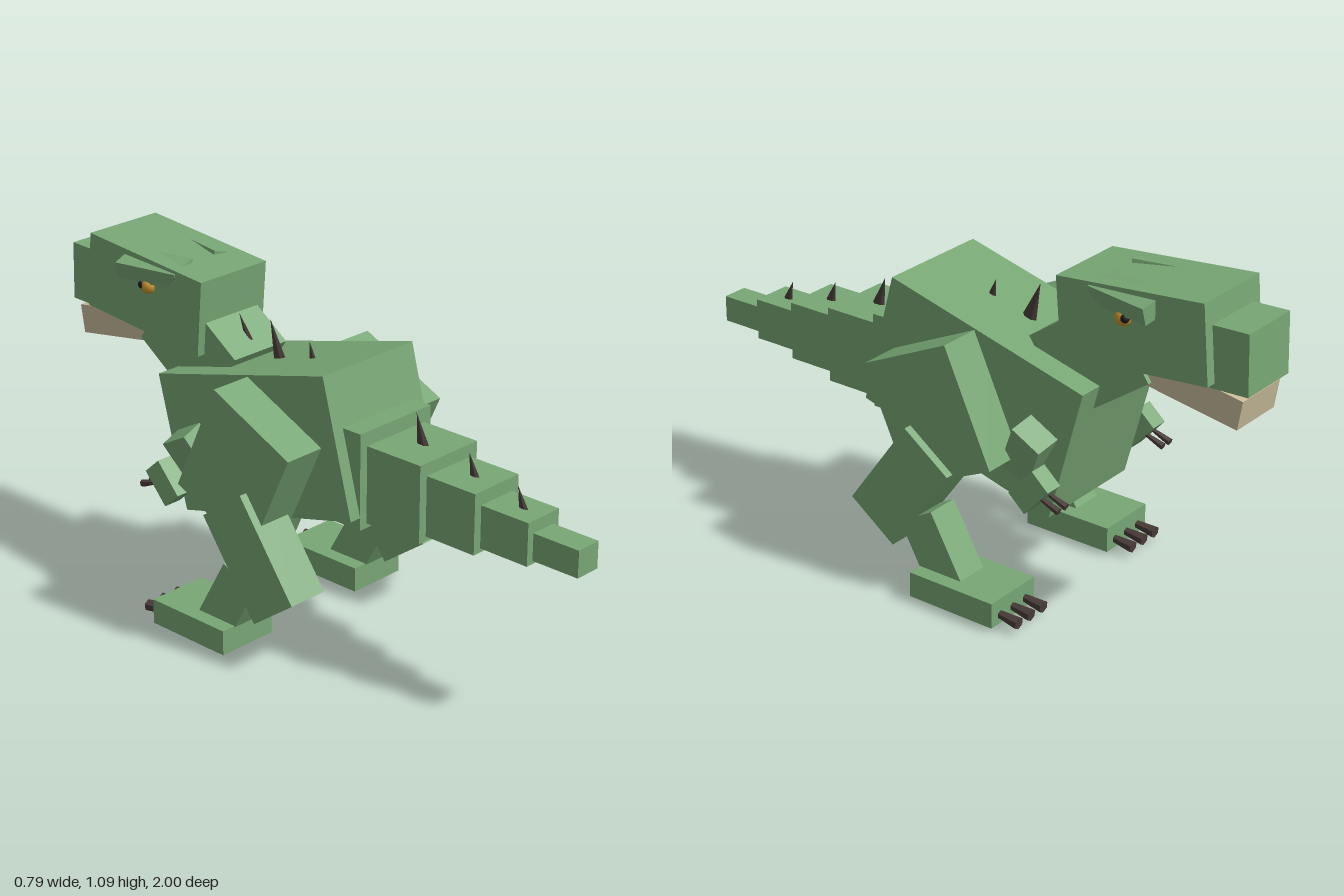
import * as THREE from 'three';

export function createModel() {
  const model = new THREE.Group();
  model.name = 'dinosaur';

  const mat = (name, color) => {
    const m = new THREE.MeshStandardMaterial({ color });
    m.name = name;
    return m;
  };
  const green = mat('skinGreen', 0x78a775);
  const tan = mat('jawTan', 0xcabd9c);
  const horn = mat('hornBrown', 0x4a3d39);
  const gold = mat('eyeGold', 0xc8962e);
  const black = mat('pupilBlack', 0x1c1a1a);

  function add(name, geo, material, pos, rot = [0, 0, 0]) {
    const mesh = new THREE.Mesh(geo, material);
    mesh.name = name;
    mesh.position.set(...pos);
    mesh.rotation.set(...rot);
    model.add(mesh);
    return mesh;
  }
  const box = (name, size, pos, rot, material = green) =>
    add(name, new THREE.BoxGeometry(...size), material, pos, rot);

  // Cylinder or cone running from one point to another
  function taper(name, from, to, r0, r1, sides = 6, flat = 1) {
    const a = new THREE.Vector3(...from), b = new THREE.Vector3(...to);
    const dir = b.clone().sub(a);
    const geo = new THREE.CylinderGeometry(r1, r0, dir.length(), sides).toNonIndexed();
    geo.scale(flat, 1, 1);
    geo.computeVertexNormals();
    const mesh = add(name, geo, horn, a.add(b).multiplyScalar(0.5).toArray());
    mesh.quaternion.setFromUnitVectors(new THREE.Vector3(0, 1, 0), dir.normalize());
  }

  // Torso, neck and head
  box('torso', [0.384, 0.438, 0.715], [0, 0.612, -0.115], [-0.258, 0, 0]);
  box('neck', [0.22, 0.267, 0.32], [0, 0.803, -0.474], [0.612, 0, 0]);
  box('head', [0.275, 0.243, 0.495], [0, 0.946, -0.635], [0.087, 0, 0]);
  box('snout', [0.206, 0.187, 0.24], [0, 0.923, -0.878], [0.03, 0, 0]);
  box('jaw', [0.19, 0.092, 0.31], [0, 0.793, -0.82], [-0.165, 0, 0], tan);

  // Tail: [width, bottom, top, zStart, zEnd]
  [
    [0.304, 0.45, 0.755, 0.04, 0.286],
    [0.247, 0.465, 0.71, 0.25, 0.49],
    [0.19, 0.48, 0.67, 0.45, 0.67],
    [0.135, 0.493, 0.627, 0.63, 0.84],
    [0.087, 0.503, 0.588, 0.8, 1.0],
  ].forEach(([w, y0, y1, z0, z1], i) =>
    box('tailSegment' + (i + 1), [w, y1 - y0, z1 - z0], [0, (y0 + y1) / 2, (z0 + z1) / 2]));

  // Back spikes: [base y, base z, tip y, tip z, radius]
  [
    [0.61, 0.772, 0.69, 0.745, 0.02],
    [0.65, 0.592, 0.735, 0.566, 0.022],
    [0.69, 0.395, 0.8, 0.365, 0.027],
    [0.84, -0.045, 0.907, -0.062, 0.017],
    [0.8, -0.18, 0.935, -0.224, 0.029],
    [0.84, -0.315, 0.92, -0.357, 0.018],
  ].forEach(([y0, z0, y1, z1, r]) =>
    taper('backSpike', [0, y0, z0], [0, y1, z1], r, 0, 6, 0.5));

  // Paired parts, mirrored left and right
  for (const s of [1, -1]) {
    const side = s > 0 ? 'left' : 'right';

    // Brow and eye
    box(side + 'Brow', [0.1, 0.055, 0.22], [s * 0.11, 1.03, -0.608], [0, s * -0.2, s * -0.25]);
    add(side + 'Eye', new THREE.SphereGeometry(0.027, 14, 10), gold, [s * 0.135, 0.98, -0.61]);
    add(side + 'Pupil', new THREE.SphereGeometry(0.014, 10, 8), black, [s * 0.15, 0.984, -0.624]);

    // Hind leg
    box(side + 'Thigh', [0.19, 0.387, 0.331], [s * 0.235, 0.584, -0.062], [0.435, 0, 0]);
    box(side + 'Calf', [0.137, 0.357, 0.193], [s * 0.288, 0.338, 0.024], [-0.625, 0, 0]);
    box(side + 'Ankle', [0.109, 0.252, 0.135], [s * 0.29, 0.143, -0.091], [0.517, 0, 0]);
    box(side + 'Foot', [0.206, 0.081, 0.305], [s * 0.29, 0.051, -0.198]);
    for (const dx of [-0.06, 0, 0.06])
      taper(side + 'ToeClaw', [s * 0.29 + dx, 0.042, -0.32], [s * 0.29 + dx, 0.032, -0.418], 0.01, 0.02);

    // Small arm
    box(side + 'UpperArm', [0.08, 0.18, 0.108], [s * 0.205, 0.51, -0.34], [-0.49, 0, s * -0.3]);
    box(side + 'Forearm', [0.06, 0.077, 0.125], [s * 0.265, 0.432, -0.405], [0.84, 0, 0]);
    for (const x of [0.245, 0.282])
      taper(side + 'FingerClaw', [s * x, 0.423, -0.435], [s * x, 0.398, -0.505], 0.006, 0.012);
  }

  return model;
}
